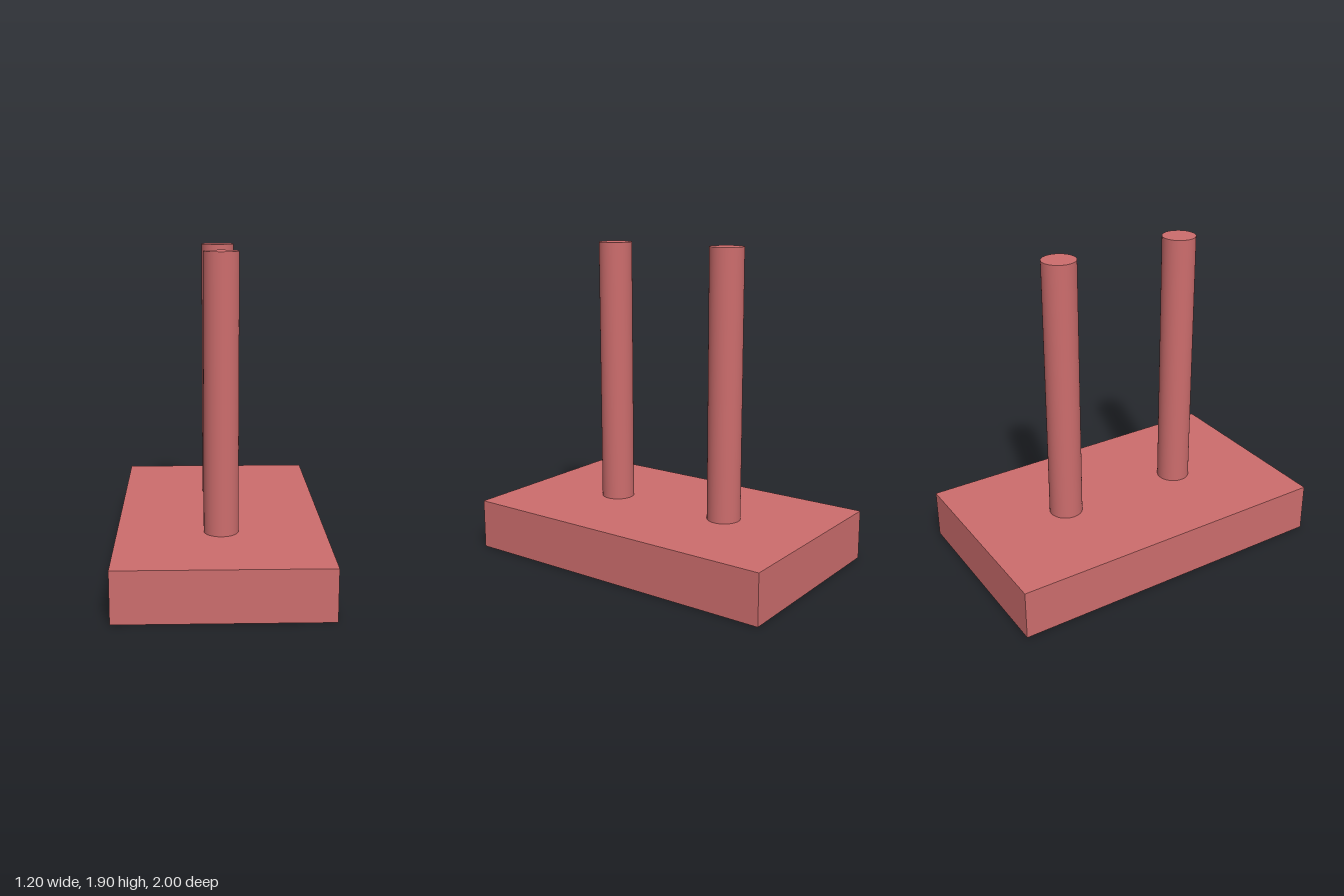
import * as THREE from 'three';

export function createModel() {
  const group = new THREE.Group();
  const material = new THREE.MeshStandardMaterial({ color: 0xcd6d6d });

  // Base slab
  const baseHeight = 0.3;
  const base = new THREE.Mesh(new THREE.BoxGeometry(1.2, baseHeight, 2), material);
  base.name = 'base';
  base.position.y = baseHeight / 2;
  group.add(base);

  // Two upright round posts, front and back
  const postHeight = 1.6;
  const postGeometry = new THREE.CylinderGeometry(0.1, 0.1, postHeight, 64);
  for (const [name, z] of [['frontPost', 0.4], ['backPost', -0.4]]) {
    const post = new THREE.Mesh(postGeometry, material);
    post.name = name;
    post.position.set(0, baseHeight + postHeight / 2, z);
    group.add(post);
  }

  return group;
}
